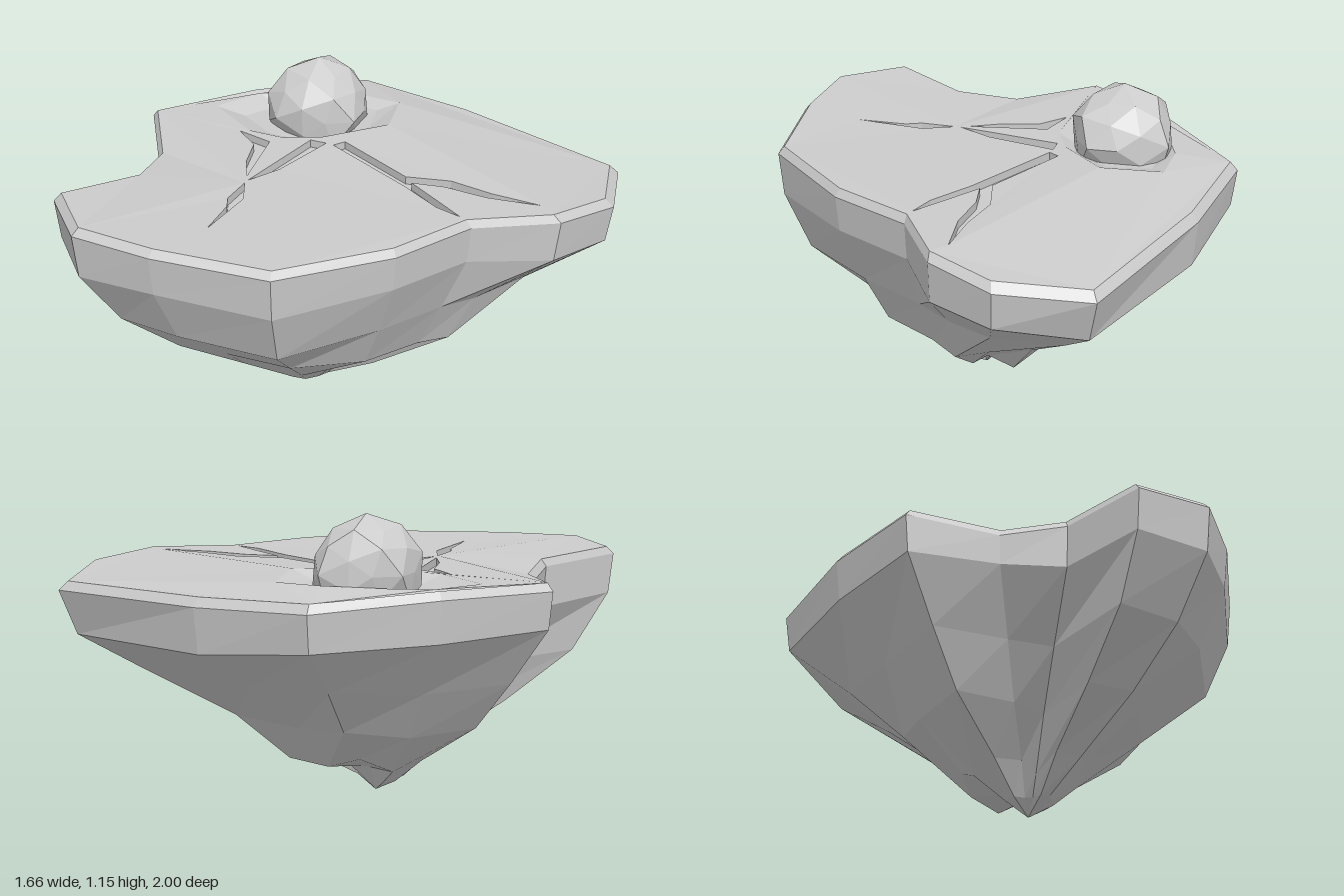
import * as THREE from 'three';

const CZ = 0.04; // z of the lowest tip, the axis all rings shrink toward

// Plan of the island edge, [x, z], counter-clockwise seen from above
const EDGE = [[-0.13, 1], [0.16, 0.87], [0.53, 0.62], [0.66, 0.17], [0.66, -0.18],
  [0.83, -0.46], [0.82, -0.74], [0.59, -1], [-0.12, -0.87], [-0.57, -0.71],
  [-0.74, -0.26], [-0.83, 0.18], [-0.53, 0.36], [-0.39, 0.56], [-0.41, 0.9]];

// How far each edge point has shrunk toward the tip at three lower levels
const UPPER = [0.82, 0.85, 0.86, 0.83, 0.84, 0.68, 0.72, 0.74, 0.72, 0.72, 0.74, 0.78, 0.72, 0.66, 0.83];
const MIDDLE = [0.58, 0.56, 0.54, 0.68, 0.7, 0.58, 0.5, 0.45, 0.45, 0.5, 0.56, 0.59, 0.5, 0.4, 0.55];
const LOWER = [0.29, 0.28, 0.23, 0.3, 0.26, 0.27, 0.26, 0.28, 0.28, 0.26, 0.28, 0.28, 0.24, 0.2, 0.27];

// Cracks in the ground, [x, z]
const CRACKS = [
  [[-0.11, -0.22], [0.25, -0.22], [0.38, -0.33], [0.55, -0.38], [0.73, -0.46], [0.56, -0.345],
    [0.4, -0.28], [0.3, -0.205], [0.48, -0.185], [0.61, -0.17], [0.5, -0.15], [0.3, -0.168], [-0.12, -0.17]],
  [[-0.21, -0.13], [-0.15, -0.16], [-0.09, 0.11], [-0.09, 0.26]],
  [[-0.45, 0.03], [-0.3, 0], [-0.12, 0.24], [-0.22, 0.17], [-0.32, 0.06]],
  [[-0.08, 0.28], [0.02, 0.36], [0.07, 0.47], [0.13, 0.6], [0.03, 0.44], [-0.02, 0.4]],
];

// Hollow the boulder sits in
const HOLLOW = [[-0.68, -0.24], [-0.69, -0.03], [-0.43, 0], [-0.3, -0.06], [-0.2, -0.18],
  [-0.1, -0.43], [-0.25, -0.61], [-0.42, -0.53], [-0.58, -0.36]];
const BOULDER = [-0.385, -0.31];

// Height of the ground: dips at the back and front left, lifts at the front and behind the boulder
const bump = (x, z, cx, cz, size) => Math.exp(-((x - cx) ** 2 + (z - cz) ** 2) / size);
const groundY = (x, z) => 0.904 - 0.06 * Math.max(0, (-z - 0.5) / 0.5)
  + 0.025 * Math.max(0, (z - 0.5) / 0.5)
  + 0.028 * bump(x, z, -0.2, -0.5, 0.06) - 0.025 * bump(x, z, -0.55, 0.35, 0.04);

const rock = new THREE.MeshStandardMaterial({ color: 0xcccccc, flatShading: true, side: THREE.DoubleSide });

function addMesh(group, name, geometry) {
  const mesh = new THREE.Mesh(geometry, rock);
  mesh.name = name;
  group.add(mesh);
  return mesh;
}

// Joins closed rings of [x, y, z] points with triangles
function loft(rings) {
  const n = rings[0].length, index = [];
  for (let r = 0; r < rings.length - 1; r++) {
    for (let i = 0; i < n; i++) {
      const a = r * n + i, b = r * n + (i + 1) % n;
      index.push(a, a + n, b, b, a + n, b + n);
    }
  }
  const g = new THREE.BufferGeometry();
  g.setAttribute('position', new THREE.Float32BufferAttribute(rings.flat(2), 3));
  g.setIndex(index);
  g.computeVertexNormals();
  return g;
}

// Flat polygon with holes, laid on the ground and lowered by a depth
function ground(outline, holes, depth) {
  const toPoints = (pts) => pts.map(([x, z]) => new THREE.Vector2(x, -z));
  const shape = new THREE.Shape(toPoints(outline));
  shape.holes = holes.map((h) => new THREE.Path(toPoints(h)));
  const g = new THREE.ShapeGeometry(shape).rotateX(-Math.PI / 2);
  const p = g.attributes.position;
  for (let i = 0; i < p.count; i++) p.setY(i, groundY(p.getX(i), p.getZ(i)) - depth);
  g.computeVertexNormals();
  return g;
}

// Walls and floor of a recess; the floor is drawn in toward a centre
function addRecess(group, name, outline, depth, shrink, [cx, cz]) {
  const floor = outline.map(([x, z]) => [cx + (x - cx) * shrink, cz + (z - cz) * shrink]);
  const ring = (pts, d) => pts.map(([x, z]) => [x, groundY(x, z) - d, z]);
  addMesh(group, name + 'Walls', loft([ring(outline, 0), ring(floor, depth)]));
  addMesh(group, name + 'Floor', ground(floor, [], depth));
}

export function createModel() {
  const model = new THREE.Group();
  model.name = 'floatingIsland';

  // Cliff: bevelled rim, short upright band, facets narrowing to a stubby root
  const scaled = (s, [x, z]) => [x * s, CZ + (z - CZ) * s];
  const ring = (scaleAt, yAt) => EDGE.map((p, i) => {
    const [x, z] = scaled(scaleAt(i), p);
    return [x, yAt(x, z, i), z];
  });
  const wobble = (i, amount) => amount * Math.sin(i * 2.3);
  const backDip = (z) => 0.08 * Math.max(0, (-z - 0.5) / 0.45);
  const isBack = (i) => i >= 5 && i <= 9;
  const rim = EDGE.map((p) => scaled(0.97, p));
  addMesh(model, 'cliff', loft([
    ring(() => 0.97, groundY),
    ring(() => 1, (x, z) => groundY(x, z) - 0.03),
    ring((i) => (i === 7 ? 0.945 : 0.98), (x, z, i) => 0.73 - backDip(z) + wobble(i, 0.015)),
    ring((i) => UPPER[i], (x, z, i) => 0.51 + wobble(i, 0.012)),
    ring((i) => MIDDLE[i], (x, z, i) => 0.32 + wobble(i, 0.015)),
    ring((i) => LOWER[i], (x, z, i) => 0.15 + wobble(i, 0.03)),
    ring((i) => (isBack(i) ? 0.09 : 0.12), (x, z, i) => (isBack(i) ? 0.11 : 0.05)),
    ring(() => 0, () => 0),
  ]));

  // Ground with cracks and hollow cut out
  addMesh(model, 'ground', ground(rim, [...CRACKS, HOLLOW], 0));
  CRACKS.forEach((c) => addRecess(model, 'crack', c, 0.03, 1, [0, 0]));
  addRecess(model, 'hollow', HOLLOW, 0.035, 0.72, BOULDER);

  // Boulder: faceted ball with uneven corners
  const g = new THREE.IcosahedronGeometry(1, 1);
  const p = g.attributes.position, v = new THREE.Vector3();
  for (let i = 0; i < p.count; i++) {
    v.fromBufferAttribute(p, i);
    v.multiplyScalar(1 + 0.09 * Math.sin(7 * v.x + 4 * v.y + 1) * Math.cos(6 * v.z - 3 * v.y));
    p.setXYZ(i, v.x * 0.2, v.y * 0.185, v.z * 0.2);
  }
  g.computeVertexNormals();
  addMesh(model, 'boulder', g).position.set(BOULDER[0], 0.945, BOULDER[1]);

  return model;
}
